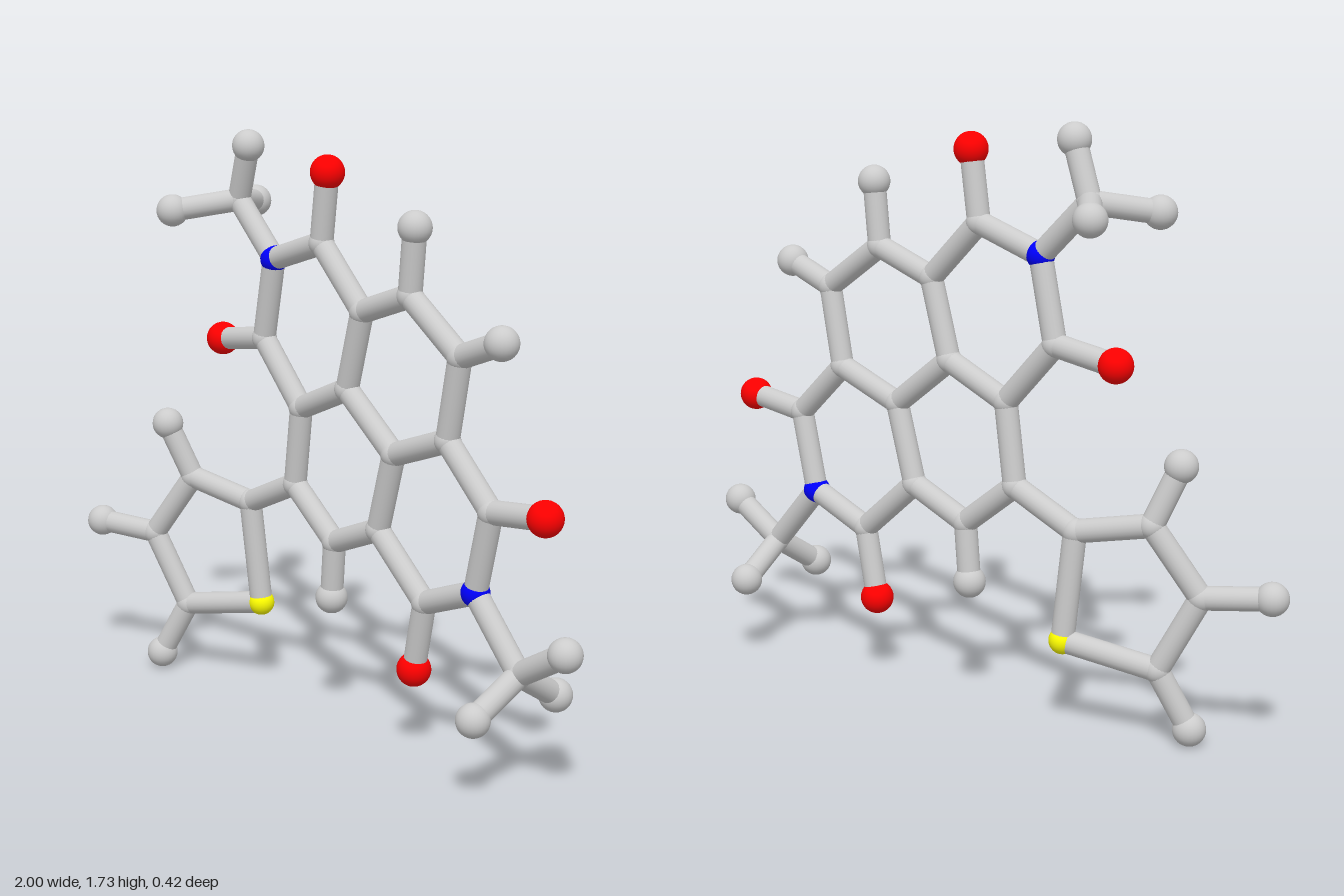
import * as THREE from 'three';

// Atom kinds: name, ball radius, colour
const KINDS = {
  C: ['carbon', 0.038, 0xcccccc],
  H: ['hydrogen', 0.048, 0xcccccc],
  O: ['oxygen', 0.05, 0xff0000],
  N: ['nitrogen', 0.041, 0x0000ff],
  S: ['sulfur', 0.04, 0xffff00],
};
const BOND_RADIUS = 0.034;

// The fused ring core lies in one slightly tilted plane
const coreZ = (x, y) => -0.031 + 0.044 * x + 0.028 * y;

// Atoms: x, y and, off the core plane, z
const ATOMS = {
  // upper left imide ring
  C1: [-0.045, 1.425], O1: [-0.01, 1.63], N1: [-0.275, 1.355],
  C2: [-0.335, 1.11], O2: [-0.55, 1.08], C3: [-0.16, 0.925],
  C4: [0.06, 1.015], C5: [0.135, 1.25],
  // upper right ring
  C6: [0.345, 1.32], H6: [0.37, 1.51], C7: [0.55, 1.18], H7: [0.715, 1.24],
  C8: [0.495, 0.94], C9: [0.265, 0.86],
  // lower left ring
  C10: [0.19, 0.625], C11: [-0.015, 0.545], H11: [-0.035, 0.37], C12: [-0.2, 0.685],
  // lower right imide ring
  C13: [0.67, 0.775], O13: [0.88, 0.8], N2: [0.605, 0.535],
  C14: [0.39, 0.455], O14: [0.34, 0.245],
  // methyl groups
  C15: [-0.445, 1.515, -0.01], H15: [-0.38, 1.68, 0.005],
  H16: [-0.57, 1.483, 0.145], H17: [-0.56, 1.492, -0.165],
  C16: [0.775, 0.345, 0.01], H18: [0.952, 0.445, 0.02],
  H19: [0.755, 0.245, 0.16], H20: [0.765, 0.25, -0.145],
  // five-sided ring, twisted out of the plane
  C17: [-0.415, 0.59, -0.02], C18: [-0.64, 0.635, 0.03], H21: [-0.7, 0.803, 0.08],
  C19: [-0.77, 0.44, 0.085], H22: [-0.952, 0.455, 0.16],
  C20: [-0.66, 0.22, 0.04], H23: [-0.74, 0.05, 0.087], S1: [-0.39, 0.27, -0.04],
};

// Each chain of atoms is joined by bonds in turn
const CHAINS = [
  'C1 N1 C2 C3 C4 C5 C1', 'C5 C6 C7 C8 C9 C4', 'C9 C10 C11 C12 C3',
  'C8 C13 N2 C14 C10', 'C12 C17 C18 C19 C20 S1 C17',
  'O1 C1', 'O2 C2', 'O13 C13', 'O14 C14', 'H6 C6', 'H7 C7', 'H11 C11',
  'N1 C15 H15', 'H16 C15 H17', 'N2 C16 H18', 'H19 C16 H20',
  'H21 C18', 'H22 C19', 'H23 C20',
];

export function createModel() {
  const model = new THREE.Group();
  model.name = 'molecule';

  // Atom balls
  const atoms = new THREE.Group();
  atoms.name = 'atoms';
  const parts = {};
  for (const [key, [name, radius, color]] of Object.entries(KINDS)) {
    parts[key] = {
      name,
      geometry: new THREE.SphereGeometry(radius, 24, 16),
      material: new THREE.MeshStandardMaterial({ color }),
    };
  }
  const positions = {};
  for (const [id, [x, y, z = coreZ(x, y)]] of Object.entries(ATOMS)) {
    const { name, geometry, material } = parts[id[0]];
    const ball = new THREE.Mesh(geometry, material);
    ball.name = name;
    ball.position.set(x, y, z);
    positions[id] = ball.position;
    atoms.add(ball);
  }

  // Bond sticks
  const bonds = new THREE.Group();
  bonds.name = 'bonds';
  const up = new THREE.Vector3(0, 1, 0);
  const stick = new THREE.CylinderGeometry(BOND_RADIUS, BOND_RADIUS, 1, 20);
  for (const chain of CHAINS) {
    const ids = chain.split(' ');
    for (let i = 1; i < ids.length; i++) {
      const a = positions[ids[i - 1]];
      const b = positions[ids[i]];
      const along = b.clone().sub(a);
      const bond = new THREE.Mesh(stick, parts.C.material);
      bond.name = 'bond';
      bond.position.copy(a).add(b).multiplyScalar(0.5);
      bond.scale.y = along.length();
      bond.quaternion.setFromUnitVectors(up, along.normalize());
      bonds.add(bond);
    }
  }

  model.add(atoms, bonds);
  return model;
}
